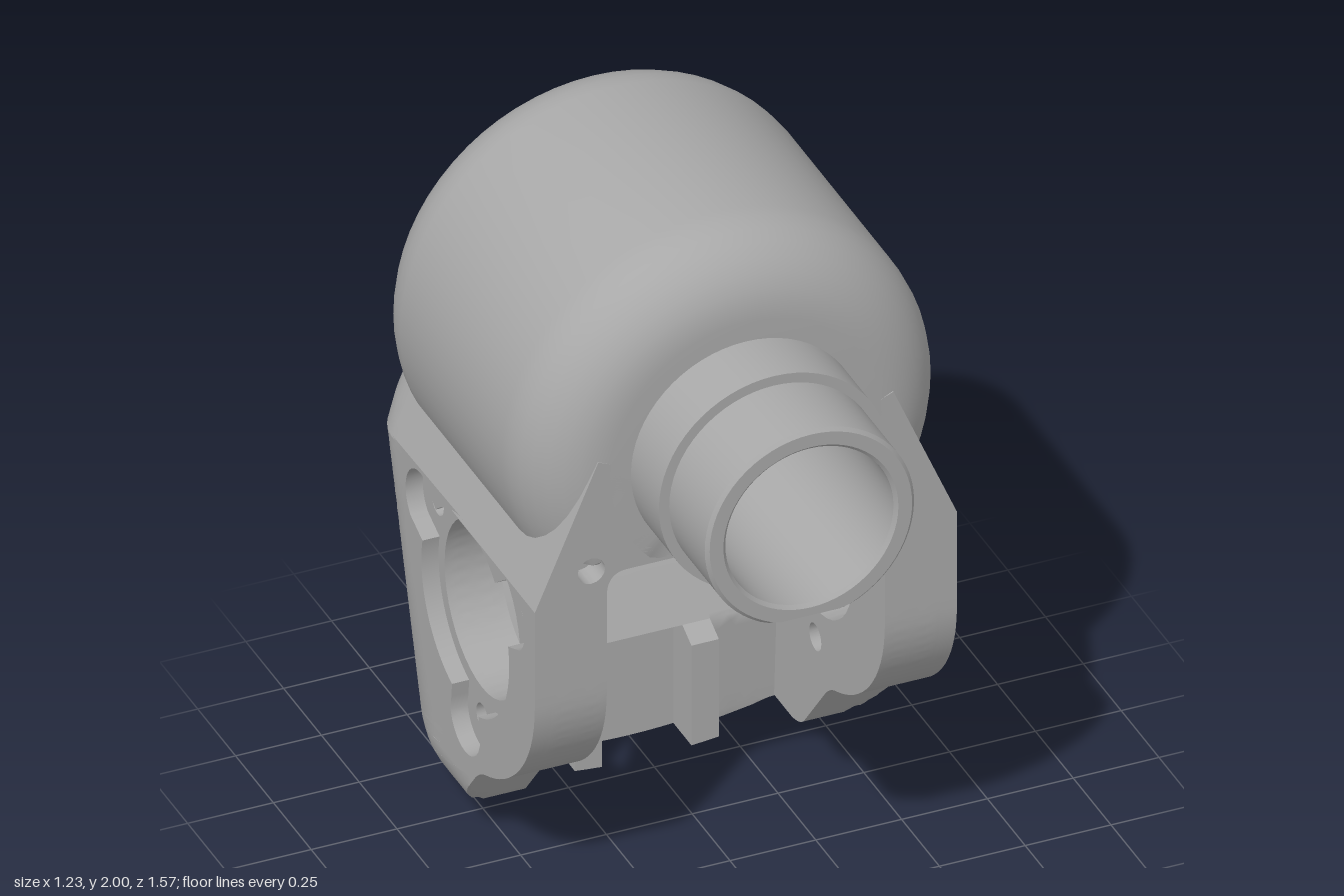
import * as THREE from 'three';
import { toCreasedNormals } from 'three/addons/utils/BufferGeometryUtils.js';

const HALF = 0.615, BACK = -0.755, FRONT = 0.355, INNER = 0.405, AXIS_Y = 1.388;

// Split long edges at their midpoints so that flat faces can be bent smoothly
function subdivide(geo, max) {
  const p = geo.toNonIndexed().attributes.position, out = [], stack = [];
  const v = (i) => new THREE.Vector3().fromBufferAttribute(p, i);
  for (let i = 0; i < p.count; i += 3) stack.push([v(i), v(i + 1), v(i + 2)]);
  while (stack.length) {
    let [a, b, c] = stack.pop();
    const ab = a.distanceTo(b), bc = b.distanceTo(c), ca = c.distanceTo(a);
    const m = Math.max(ab, bc, ca);
    if (m <= max) { out.push(...a, ...b, ...c); continue; }
    if (m === bc) [a, b, c] = [b, c, a];
    else if (m === ca) [a, b, c] = [c, a, b];
    const mid = a.clone().add(b).multiplyScalar(0.5);
    stack.push([a, mid, c], [mid, b, c]);
  }
  const g = new THREE.BufferGeometry();
  g.setAttribute('position', new THREE.Float32BufferAttribute(out, 3));
  return g;
}

// Pull a 2D point back onto a corner arc when it lies beyond it
function roundCorner(a, b, ca, cb, r) {
  const da = a - ca, db = b - cb, d = Math.hypot(da, db);
  return da > 0 && db > 0 && d > r ? [ca + da * r / d, cb + db * r / d] : [a, b];
}

// Rear corners that widen downwards, and a crowned underside with a rounded rim
function shapeBody(geo, inset = 0) {
  const g = subdivide(geo, 0.055), p = g.attributes.position, rim = 0.17;
  for (let i = 0; i < p.count; i++) {
    const side = Math.sign(p.getX(i)) || 1;
    let x = Math.abs(p.getX(i)), y = p.getY(i), s = -p.getZ(i);
    const floor = 0.008 + inset + 0.28 * Math.min(x, 0.42) ** 2;
    y = Math.max(y, floor);
    const edge = HALF - inset - Math.max(0, y - 1.02) * 0.43, back = -BACK - inset;
    const r = 0.46 - 0.32 * THREE.MathUtils.clamp((y - 0.2) / 0.9, 0, 1);
    [x, s] = roundCorner(x, s, edge - r, back - r, r);
    // distance in from the plan outline, and the outward direction there
    const a = x - edge + r, b = s - back + r, d = Math.hypot(a, b);
    let depth, dir;
    if (a > 0 && b > 0) [depth, dir] = [r - d, [a / d, b / d]];
    else if (edge - x < back - s) [depth, dir] = [edge - x, [1, 0]];
    else [depth, dir] = [back - s, [0, 1]];
    const [out, down] = roundCorner(-depth, -y, -rim, -floor - rim, rim);
    x += dir[0] * (out + depth);
    s += dir[1] * (out + depth);
    p.setXYZ(i, side * x, -down, -s);
  }
  return toCreasedNormals(g, 0.6);
}

function circle(x, y, r, n = 32) {
  const pts = [];
  for (let i = 0; i < n; i++) {
    const a = -i / n * Math.PI * 2;
    pts.push(new THREE.Vector2(x + r * Math.cos(a), y + r * Math.sin(a)));
  }
  return new THREE.Path(pts);
}

// Ring outline with three round lobes for the side recess
function trefoil(cx, cy) {
  const pts = [], d = 0.34, lobe = 0.1;
  for (let i = 0; i < 144; i++) {
    const a = -i / 144 * Math.PI * 2;
    let r = 0.29;
    for (const c of [30, 150, 270]) {
      const f = a - c * Math.PI / 180, q = lobe ** 2 - (d * Math.sin(f)) ** 2;
      if (q > 0 && Math.cos(f) > 0) r = Math.max(r, d * Math.cos(f) + Math.sqrt(q));
    }
    pts.push(new THREE.Vector2(cx + r * Math.cos(a), cy + r * Math.sin(a)));
  }
  return new THREE.Path(pts);
}

const extrude = (shape, depth) =>
  new THREE.ExtrudeGeometry(shape, { depth, bevelEnabled: false, curveSegments: 16 });

// Side profile (rearward distance, height) extruded from x0 to x1
const extrudeX = (shape, [x0, x1], inset) =>
  shapeBody(extrude(shape, x1 - x0).translate(0, 0, x0).rotateY(Math.PI / 2), inset);

// Profile of [radius, z] turned about the barrel axis, cut flat at a lowest height
function turn(points, lowest) {
  const g = new THREE.LatheGeometry(points.map(([r, z]) => new THREE.Vector2(r, z)), 64);
  g.rotateX(Math.PI / 2).translate(0, AXIS_Y, 0);
  const p = g.attributes.position;
  for (let i = 0; i < p.count; i++) p.setY(i, Math.max(p.getY(i), lowest));
  return toCreasedNormals(g, 0.5);
}

const pinHole = () => circle(0.495, 0.185, 0.06, 24);

function plateShape() {
  const s = new THREE.Shape();
  s.moveTo(-FRONT, 1.02);
  s.lineTo(-FRONT, 0.72);
  s.bezierCurveTo(-FRONT, 0.52, -0.2, 0.37, -0.03, 0.31);
  s.quadraticCurveTo(0.01, 0.295, 0.04, 0.26);
  s.lineTo(0.18, 0.09);
  s.quadraticCurveTo(0.21, 0.06, 0.27, 0.055);
  s.lineTo(0.59, 0.008);
  s.lineTo(0.755, 0.008);
  s.lineTo(0.755, 1.02);
  s.holes.push(pinHole());
  return s;
}

// Rear wall with a round inner face; front is the path of its lower front edge
function wallShape(front) {
  const s = new THREE.Shape();
  s.moveTo(0.105, 1.09);
  s.absellipse(0.105, 0.745, 0.42, 0.345, Math.PI / 2, -Math.PI / 6, true);
  s.quadraticCurveTo(0.41, 0.46, 0.36, 0.36);
  front.forEach(([a, b]) => s.lineTo(a, b));
  s.lineTo(0.755, 0.008);
  s.lineTo(0.755, 1.09);
  s.holes.push(pinHole());
  return s;
}

// Shoulder section over the cavity, scooped out under the bore
function bridgeShape() {
  const s = new THREE.Shape();
  s.moveTo(HALF, 1.02);
  s.lineTo(0.43, 1.45);
  s.lineTo(0.28, AXIS_Y);
  s.absarc(0, AXIS_Y, 0.28, 0, -Math.PI, true);
  s.lineTo(-0.43, 1.45);
  s.lineTo(-HALF, 1.02);
  s.lineTo(-INNER, 1.02);
  s.quadraticCurveTo(-INNER, 1.09, -0.345, 1.09);
  s.lineTo(0.345, 1.09);
  s.quadraticCurveTo(INNER, 1.09, INNER, 1.02);
  return s;
}

export function createModel() {
  const model = new THREE.Group();
  const grey = new THREE.MeshStandardMaterial({ color: 0xa8a8a8 });
  grey.name = 'cast grey';
  const add = (name, geo) => {
    const m = new THREE.Mesh(geo, grey);
    m.name = name;
    model.add(m);
  };

  // Rounded barrel with a stepped bore and the front nozzle
  const f = 0.22, profile = [[0.27, BACK]];
  for (let i = 0; i <= 8; i++) {
    const a = i / 8 * Math.PI / 2;
    profile.push([HALF - f + f * Math.sin(a), BACK + f - f * Math.cos(a)]);
  }
  for (let i = 0; i <= 8; i++) {
    const a = i / 8 * Math.PI / 2;
    profile.push([HALF - f + f * Math.cos(a), FRONT - f + f * Math.sin(a)]);
  }
  add('barrel', turn([...profile, [0.25, FRONT]], 1.1));
  add('nozzle', turn([[0.335, FRONT - 0.02], [0.335, 0.54], [0.305, 0.54], [0.305, 0.775],
    [0.295, 0.785], [0.255, 0.785], [0.245, 0.775], [0.245, -0.2]], 1.108));
  add('bore', turn([[0.245, -0.2], [0.18, -0.2], [0.18, -0.5], [0.13, -0.5], [0.13, -0.785]], 1.1));
  add('rearBoss', turn([[0.13, -0.785], [0.28, -0.785], [0.28, -0.775], [0.33, -0.775], [0.33, BACK]], 0));

  // Shoulders, with blind screw holes in the front slab
  const shoulderFront = bridgeShape();
  for (const k of [-1, 1]) shoulderFront.holes.push(circle(k * 0.45, 1.11, 0.04, 16));
  add('shoulders', shapeBody(extrude(bridgeShape(), 0.28 - BACK).translate(0, 0, BACK)));
  add('shoulderFront', shapeBody(extrude(shoulderFront, FRONT - 0.28).translate(0, 0, 0.28)));

  // Side plates: inner layer with bores, outer layer with the lobed recess
  const inner = plateShape(), outer = plateShape();
  inner.holes.push(circle(0.105, 0.745, 0.25, 40));
  for (const [s, y] of [[-0.19, 0.912], [0.4, 0.912], [0.105, 0.402]]) inner.holes.push(circle(s, y, 0.04, 20));
  outer.holes.push(trefoil(0.105, 0.745));

  // Rear wall in strips: deep pockets, a pair of ribs and the slot between them
  const pocket = wallShape([[0.38, 0.008]]), rib = wallShape([[0.3, 0.33], [0.3, 0.008]]);
  for (const k of [-1, 1]) {
    const side = k > 0 ? 'left' : 'right';
    const span = (a, b) => (k > 0 ? [a, b] : [-b, -a]);
    add(side + 'PlateInner', extrudeX(inner, span(INNER, 0.565), 0.002));
    add(side + 'PlateOuter', extrudeX(outer, span(0.565, HALF)));
    add(side + 'WallPocket', extrudeX(pocket, span(0.21, INNER)));
    add(side + 'WallRib', extrudeX(rib, span(0.13, 0.21)));
  }
  add('wallSlot', extrudeX(wallShape([[0.4, 0.36], [0.42, 0.34], [0.42, 0.008]]), [-0.13, 0.13]));
  return model;
}
